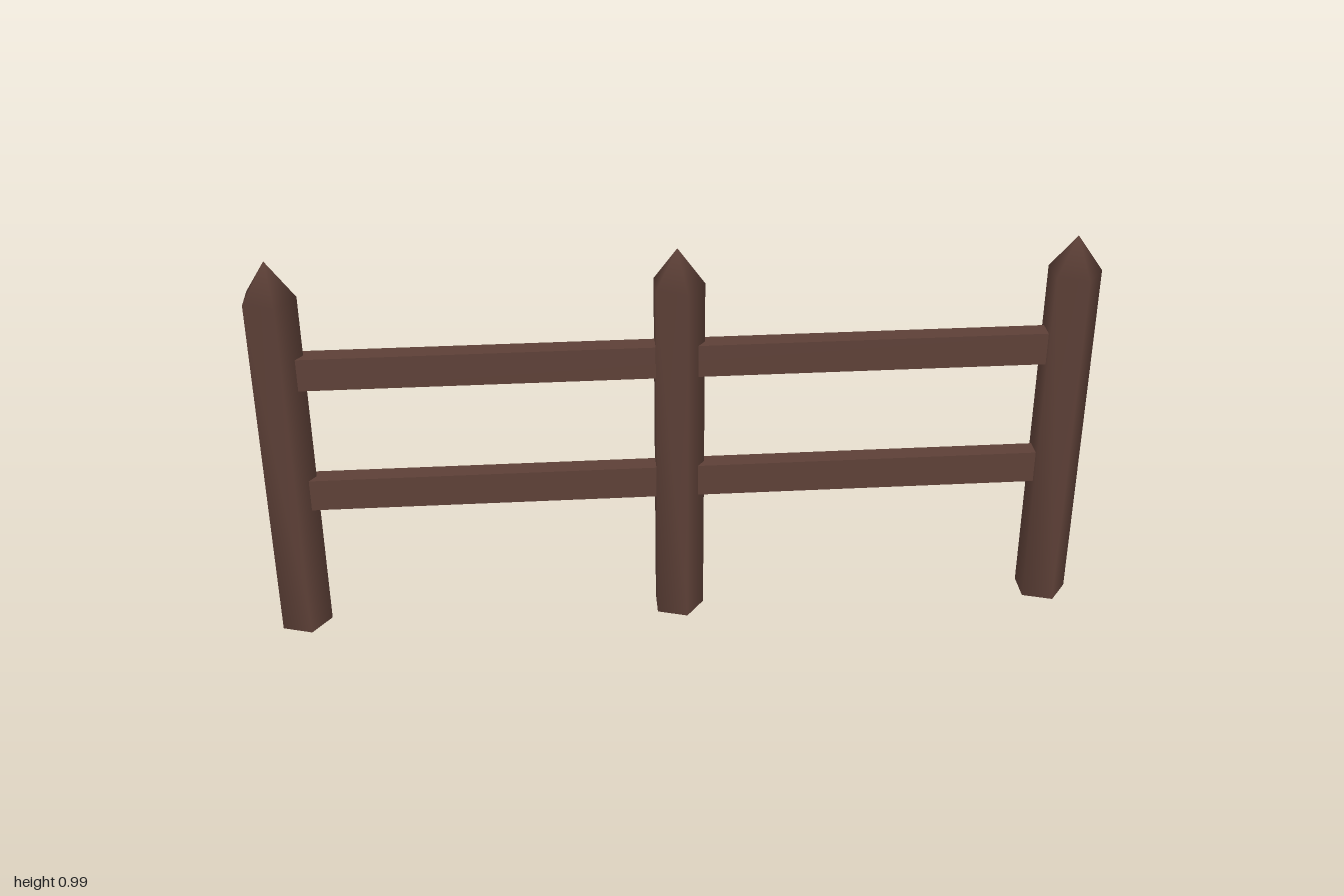
import * as THREE from 'three';
import { mergeVertices } from 'three/addons/utils/BufferGeometryUtils.js';

// Five-sided post with a pointed top and softly shaded edges
function postGeometry(radius, shoulder, tip) {
  const profile = [[0, 0], [radius, 0], [radius, shoulder], [0, tip]].map(
    ([x, y]) => new THREE.Vector2(x, y)
  );
  const lathe = new THREE.LatheGeometry(profile, 5);
  lathe.rotateY(Math.PI / 2); // one corner points to +x
  lathe.deleteAttribute('normal');
  lathe.deleteAttribute('uv');
  const geometry = mergeVertices(lathe, 1e-4);
  geometry.computeVertexNormals();
  return geometry;
}

export function createModel() {
  const fence = new THREE.Group();
  fence.name = 'fence';

  const wood = new THREE.MeshStandardMaterial({ color: 0x5d4037 });
  wood.name = 'brown wood';

  // Three posts
  const postX = [-0.947, -0.006, 0.9345];
  const post = postGeometry(0.0655, 0.895, 0.986);
  postX.forEach((x, i) => {
    const mesh = new THREE.Mesh(post, wood);
    mesh.name = ['rightPost', 'middlePost', 'leftPost'][i];
    mesh.position.x = x;
    fence.add(mesh);
  });

  // Two rails running through all posts
  const rail = new THREE.BoxGeometry(postX[2] - postX[0], 0.082, 0.047);
  for (const [name, y] of [['lowerRail', 0.375], ['upperRail', 0.703]]) {
    const mesh = new THREE.Mesh(rail, wood);
    mesh.name = name;
    mesh.position.set((postX[0] + postX[2]) / 2, y, 0);
    fence.add(mesh);
  }

  return fence;
}
